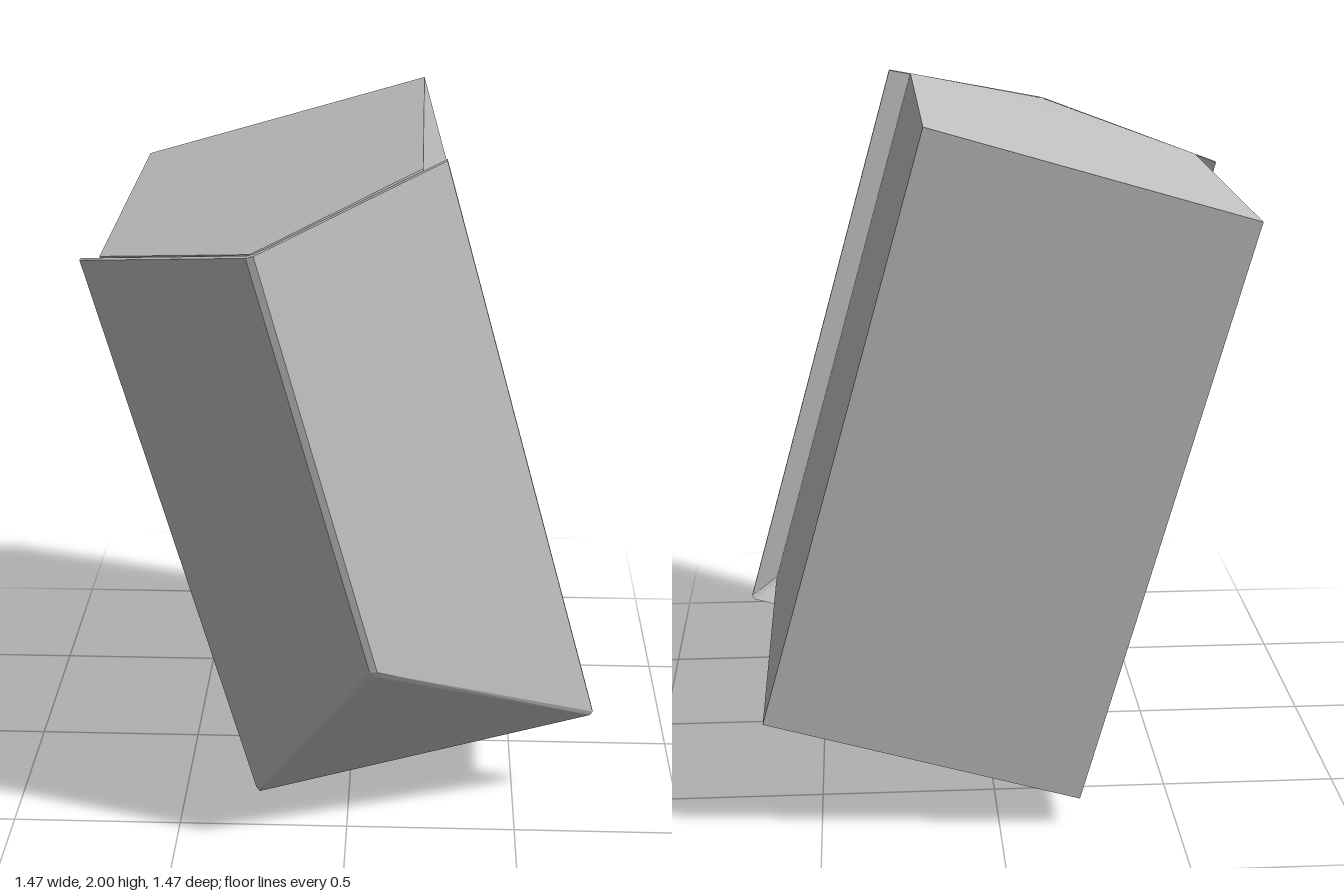
import * as THREE from 'three';
import { ConvexGeometry } from 'three/addons/geometries/ConvexGeometry.js';

export function createModel() {
  const model = new THREE.Group();
  const grey = new THREE.MeshStandardMaterial({ color: 0xc0c0c0 });
  grey.name = 'light grey';

  const solid = (name, points) => {
    const mesh = new THREE.Mesh(new ConvexGeometry(points), grey);
    mesh.name = name;
    model.add(mesh);
  };
  const at = (x, y, z) => new THREE.Vector3(x, y, z);

  // Leaning block: a parallelogram section with a hipped wedge at the front
  const section = [[-0.68, 1.73], [0.2, 1.985], [0.655, 0.345], [-0.225, 0.09]];
  const block = section.flatMap(([x, y]) => [at(x, y, -0.735), at(x, y, 0.345)]);
  solid('body', [...block, at(-0.235, 1.857, 0.708), at(0.085, 0.662, 0.708)]);

  // Thin cladding plates over the wedge, each thickened backwards
  const plate = (name, points) =>
    solid(name, points.flatMap((p) => [p, p.clone().setZ(p.z - 0.02)]));

  const rim = 0.32, tip = 0.73;
  const topLeft = at(-0.74, 1.71, rim), topRight = at(0.265, 2, rim);
  const lowLeft = at(-0.285, 0.02, rim), lowRight = at(0.732, 0.31, rim);
  const baseLeft = at(-0.275, 0.005, rim), baseRight = at(0.725, 0.298, rim);
  const ridgeLeft = at(-0.245, 1.854, tip), ridgeRight = at(-0.225, 1.859, tip);
  const noseLeft = at(0.073, 0.665, tip), noseRight = at(0.094, 0.665, tip);
  const noseLow = at(0.085, 0.65, tip - 0.004);

  plate('rightPanel', [topLeft, lowLeft, noseLeft, ridgeLeft]);
  plate('leftPanel', [topRight, lowRight, noseRight, ridgeRight]);
  plate('bottomPanel', [baseLeft, baseRight, noseLow]);

  // Narrow strips along the joints
  plate('ridgeStrip', [ridgeLeft, ridgeRight, noseRight, noseLeft]);
  plate('rightHipStrip', [lowLeft, baseLeft, noseLow, noseLeft]);
  plate('leftHipStrip', [lowRight, baseRight, noseLow, noseRight]);
  plate('noseCap', [noseLeft, noseRight, noseLow]);

  return model;
}
